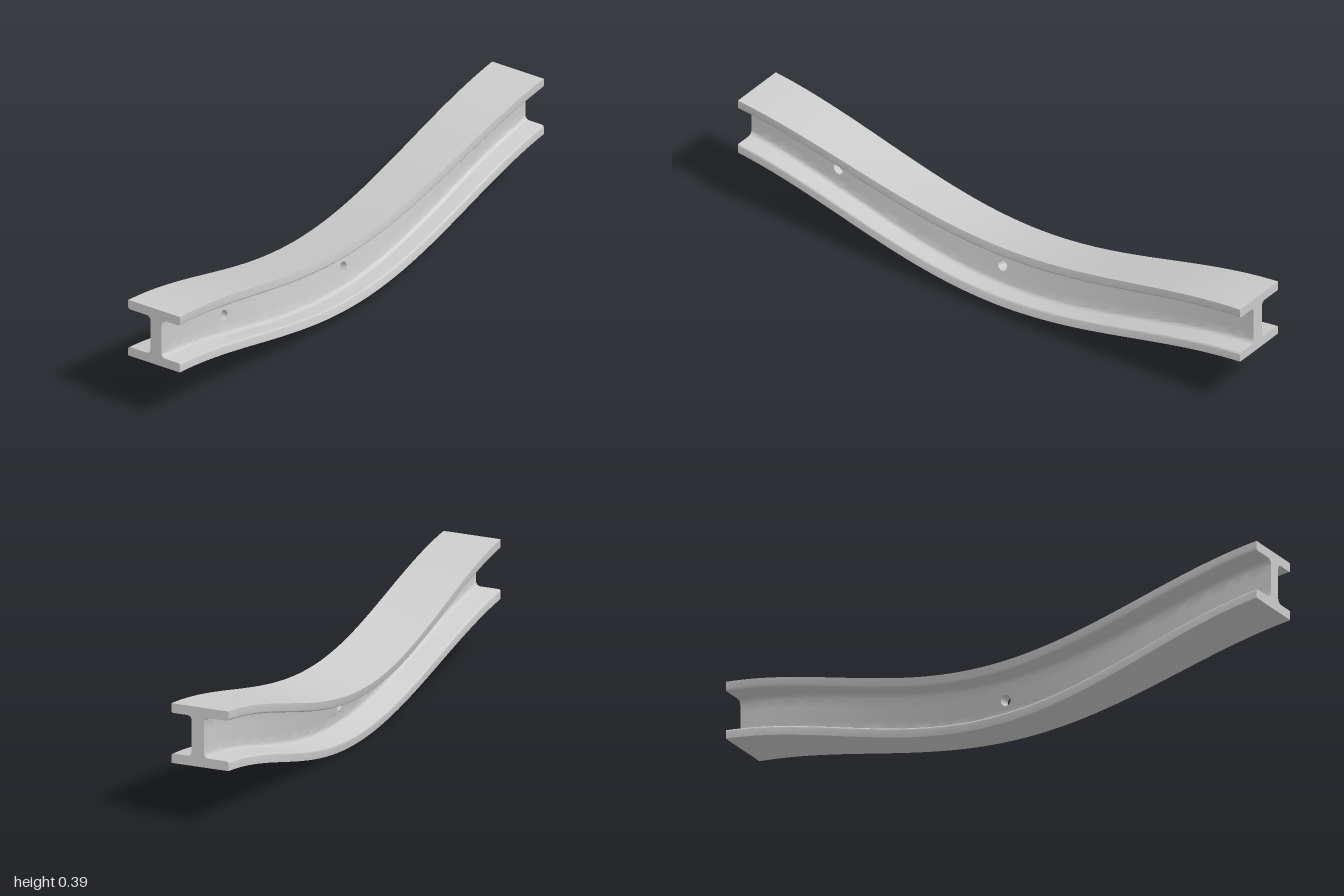
import * as THREE from 'three';
import { mergeGeometries, toCreasedNormals } from 'three/addons/utils/BufferGeometryUtils.js';

const HALF = 0.1;               // half height of the section
const FRONT = 0.102, BACK = -0.1; // flange tips in z
const WEB_F = 0.03, WEB_B = -0.013; // web faces in z
const FLANGE_Y = 0.068;         // inner face of the flange
const CELL = 0.026, HOLE_R = 0.018;
const HOLES = [{ x: -0.655, through: false }, { x: 0, through: true }];

// Sag of the beam: 1 in the middle, 0 at the ends
const wave = x => 1 + Math.cos(Math.PI * x / 1.15);
const sag = x => (wave(x) - wave(1)) / (wave(0) - wave(1));

// Bends the straight beam: it sinks and twists together
function bend(geometry) {
  const p = geometry.attributes.position;
  for (let i = 0; i < p.count; i++) {
    const x = p.getX(i), y = p.getY(i), z = p.getZ(i);
    const s = sag(x), a = 0.186 * s;
    p.setY(i, 0.297 - 0.177 * s + y * Math.cos(a) + z * Math.sin(a));
    p.setZ(i, z * Math.cos(a) - y * Math.sin(a));
  }
  return geometry;
}

// Half of a flange, from the web to the tip, as [z, y] points
function flangeSide(web, tip) {
  const d = Math.sign(tip), r = 0.016, t = 0.007, pts = [[web, CELL]];
  for (let i = 0; i <= 6; i++) {
    const a = i / 6 * Math.PI / 2;
    pts.push([web + d * r * (1 - Math.cos(a)), FLANGE_Y - r + r * Math.sin(a)]);
  }
  for (let i = 0; i <= 4; i++) {
    const a = i / 4 * Math.PI / 2;
    pts.push([tip - d * t * (1 - Math.sin(a)), FLANGE_Y + t * (1 - Math.cos(a))]);
  }
  pts.push([tip, HALF]);
  return pts;
}

// Sweeps an open [z, y] profile along x
function sweep(profile, x0, x1) {
  const n = Math.max(1, Math.ceil((x1 - x0) / 0.03)), v = [];
  for (let i = 0; i < n; i++) {
    const a = x0 + (x1 - x0) * i / n, b = x0 + (x1 - x0) * (i + 1) / n;
    for (let j = 0; j + 1 < profile.length; j++) {
      const [z0, y0] = profile[j], [z1, y1] = profile[j + 1];
      v.push(a, y0, z0, b, y0, z0, b, y1, z1, a, y0, z0, b, y1, z1, a, y1, z1);
    }
  }
  const g = new THREE.BufferGeometry();
  g.setAttribute('position', new THREE.Float32BufferAttribute(v, 3));
  return g;
}

// Square piece of web with a round opening
function holedPlate() {
  const s = new THREE.Shape([[-1, -1], [1, -1], [1, 1], [-1, 1]]
    .map(([x, y]) => new THREE.Vector2(x * CELL, y * CELL)));
  s.holes.push(new THREE.Path().absarc(0, 0, HOLE_R, 0, Math.PI * 2, true));
  return new THREE.ShapeGeometry(s, 16);
}

function finish(parts, name, material) {
  const clean = parts.map(g => {
    const c = g.index ? g.toNonIndexed() : g;
    c.deleteAttribute('uv');
    c.deleteAttribute('normal');
    return c;
  });
  const mesh = new THREE.Mesh(toCreasedNormals(bend(mergeGeometries(clean)), 0.5), material);
  mesh.name = name;
  return mesh;
}

export function createModel() {
  const group = new THREE.Group();
  group.name = 'bentBeam';
  const material = new THREE.MeshStandardMaterial({ color: 0xcccccc });

  // Flange profiles
  const top = [...flangeSide(WEB_F, FRONT), ...flangeSide(WEB_B, BACK).reverse()];
  const bottom = top.map(([z, y]) => [z, -y]).reverse();
  group.add(finish([sweep(top, -1, 1)], 'topFlange', material));
  group.add(finish([sweep(bottom, -1, 1)], 'bottomFlange', material));

  // Web, interrupted at the holes
  const web = [];
  const frontStrip = [[WEB_F, -CELL], [WEB_F, CELL]];
  const backStrip = [[WEB_B, CELL], [WEB_B, -CELL]];
  const stops = [-1, ...HOLES.flatMap(h => [h.x - CELL, h.x + CELL]), 1];
  for (let i = 0; i < stops.length; i += 2) {
    web.push(sweep(frontStrip, stops[i], stops[i + 1]));
    web.push(sweep(backStrip, stops[i], stops[i + 1]));
  }
  for (const { x, through } of HOLES) {
    const floor = through ? WEB_B : WEB_F - 0.025;
    web.push(holedPlate().translate(x, 0, WEB_F));
    web.push(through
      ? holedPlate().rotateY(Math.PI).translate(x, 0, WEB_B)
      : sweep(backStrip, x - CELL, x + CELL));
    // Hole wall faces inwards
    web.push(new THREE.CylinderGeometry(HOLE_R, HOLE_R, WEB_F - floor, 32, 1, true)
      .rotateX(Math.PI / 2).scale(-1, 1, 1).translate(x, 0, (WEB_F + floor) / 2));
    if (!through) web.push(new THREE.CircleGeometry(HOLE_R, 32).translate(x, 0, floor));
  }
  group.add(finish(web, 'web', material));

  // End faces
  const outline = [...top, ...bottom];
  for (const side of [1, -1]) {
    const shape = new THREE.Shape(outline.map(([z, y]) => new THREE.Vector2(-side * z, y)));
    const cap = new THREE.ShapeGeometry(shape).rotateY(side * Math.PI / 2).translate(side, 0, 0);
    group.add(finish([cap], side > 0 ? 'leftEnd' : 'rightEnd', material));
  }
  return group;
}
